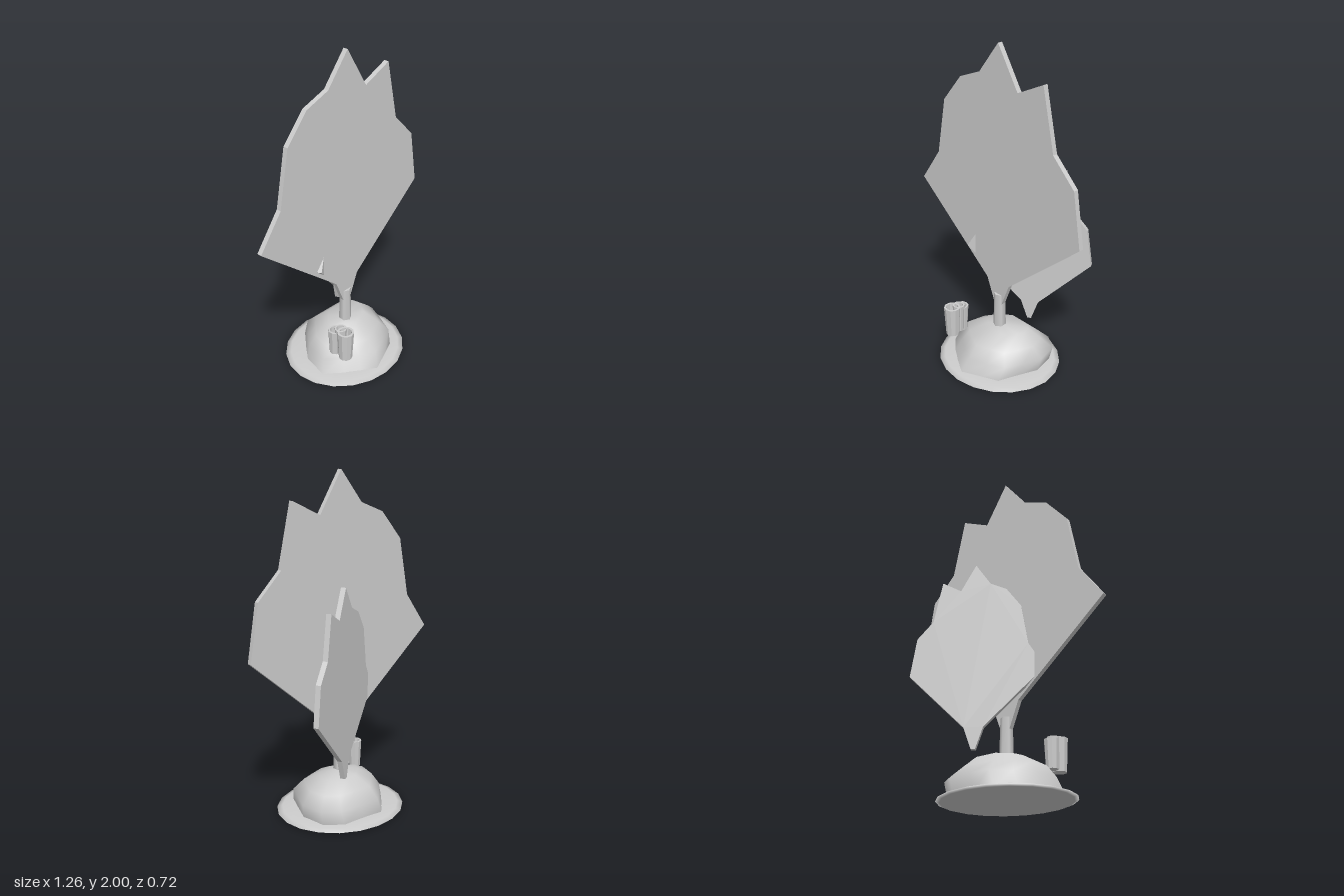
import * as THREE from 'three';

const grey = new THREE.MeshStandardMaterial({ color: 0xcccccc });
grey.name = 'plainGrey';
const v2 = (x, y) => new THREE.Vector2(x, y);

function add(group, name, geometry, x = 0, y = 0, z = 0) {
  const mesh = new THREE.Mesh(geometry, grey);
  mesh.name = name;
  mesh.position.set(x, y, z);
  group.add(mesh);
  return mesh;
}

// Jagged flat slab that narrows to a small tip at the bottom
function slabGeometry() {
  const outline = [
    [0.04, 0.372], [0.11, 0.55], [0.63, 1.0], [0.575, 1.33], [0.425, 1.485],
    [0.345, 1.845], [0.165, 1.76], [0.02, 2.0], [-0.125, 1.815], [-0.28, 1.755],
    [-0.42, 1.59], [-0.485, 1.245], [-0.635, 1.035], [-0.07, 0.55], [0.0, 0.372],
  ];
  const shape = new THREE.Shape(outline.map(([x, y]) => v2(x, y)));
  const geometry = new THREE.ExtrudeGeometry(shape, { depth: 0.03, bevelEnabled: false });
  return geometry.translate(0, 0, -0.015);
}

// Irregular mound: one outline scaled and shifted through stacked rings
function moundGeometry() {
  const outline = [
    [0, 0.31], [0.12, 0.265], [0.232, 0.217], [0.285, 0.09], [0.33, -0.03],
    [0.297, -0.18], [0.195, -0.254], [0.05, -0.26], [-0.086, -0.264],
    [-0.18, -0.16], [-0.26, -0.06], [-0.29, 0.105], [-0.19, 0.195], [-0.1, 0.255],
  ].map(([x, z]) => [(x - 0.02) / 0.31, (z - 0.023) / 0.287]);
  // y, centre x, half width, centre z, half depth
  const rings = [
    [0.015, 0.0125, 0.2975, 0.0225, 0.2825],
    [0.11, 0.04, 0.29, 0.0, 0.26],
    [0.175, 0.032, 0.235, 0.0, 0.195],
    [0.237, 0.05, 0.14, -0.025, 0.1],
  ];
  const n = outline.length;
  const positions = [];
  const index = [];
  for (const [y, cx, w, cz, d] of rings) {
    for (const [x, z] of outline) positions.push(cx + x * w, y, cz + z * d);
  }
  positions.push(0.03, 0.25, 0);
  const top = rings.length * n;
  for (let r = 0; r < rings.length; r++) {
    for (let i = 0; i < n; i++) {
      const a = r * n + i;
      const b = r * n + ((i + 1) % n);
      if (r < rings.length - 1) index.push(a, b, b + n, a, b + n, a + n);
      else index.push(a, b, top);
    }
  }
  const geometry = new THREE.BufferGeometry();
  geometry.setAttribute('position', new THREE.Float32BufferAttribute(positions, 3));
  geometry.setIndex(index);
  geometry.computeVertexNormals();
  return geometry;
}

// Hollow tapered tube, closed at the bottom and recessed at the top
function cupGeometry(radius, height) {
  const profile = [
    [0, 0], [radius * 0.8, 0], [radius, height], [radius * 0.74, height],
    [radius * 0.6, height * 0.25], [0, height * 0.25],
  ];
  const geometry = new THREE.LatheGeometry(profile.map(([x, y]) => v2(x, y)), 10).toNonIndexed();
  geometry.computeVertexNormals();
  return geometry;
}

export function createModel() {
  const model = new THREE.Group();
  model.name = 'model';

  // Saucer base
  const saucer = new THREE.LatheGeometry(
    [[0, 0.003], [0.37, 0.003], [0.393, 0.011], [0.36, 0.022], [0.27, 0.033], [0, 0.035]]
      .map(([x, y]) => v2(x, y)), 20);
  add(model, 'saucerBase', saucer, 0.018, -0.003, 0).scale.z = 0.358 / 0.393;

  // Mound and six-sided stem
  add(model, 'mound', moundGeometry());
  add(model, 'stem', new THREE.CylinderGeometry(0.034, 0.04, 0.23, 6).toNonIndexed(), 0.021, 0.35, 0);

  // Large slab and a smaller one turned behind it
  add(model, 'largeSlab', slabGeometry());
  const small = add(model, 'smallSlab', slabGeometry(), 0.111, 0.01, -0.157);
  small.scale.set(0.6, 0.685, 1);
  small.rotation.y = 0.5;

  // Cluster of three cups: x, z, radius, bottom, height
  const cups = [
    [-0.187, 0.203, 0.051, 0.17, 0.19],
    [-0.18, 0.157, 0.037, 0.18, 0.178],
    [-0.192, 0.122, 0.043, 0.17, 0.165],
  ];
  for (const [x, z, radius, bottom, height] of cups) {
    add(model, 'cup', cupGeometry(radius, height), x, bottom, z);
  }
  return model;
}
